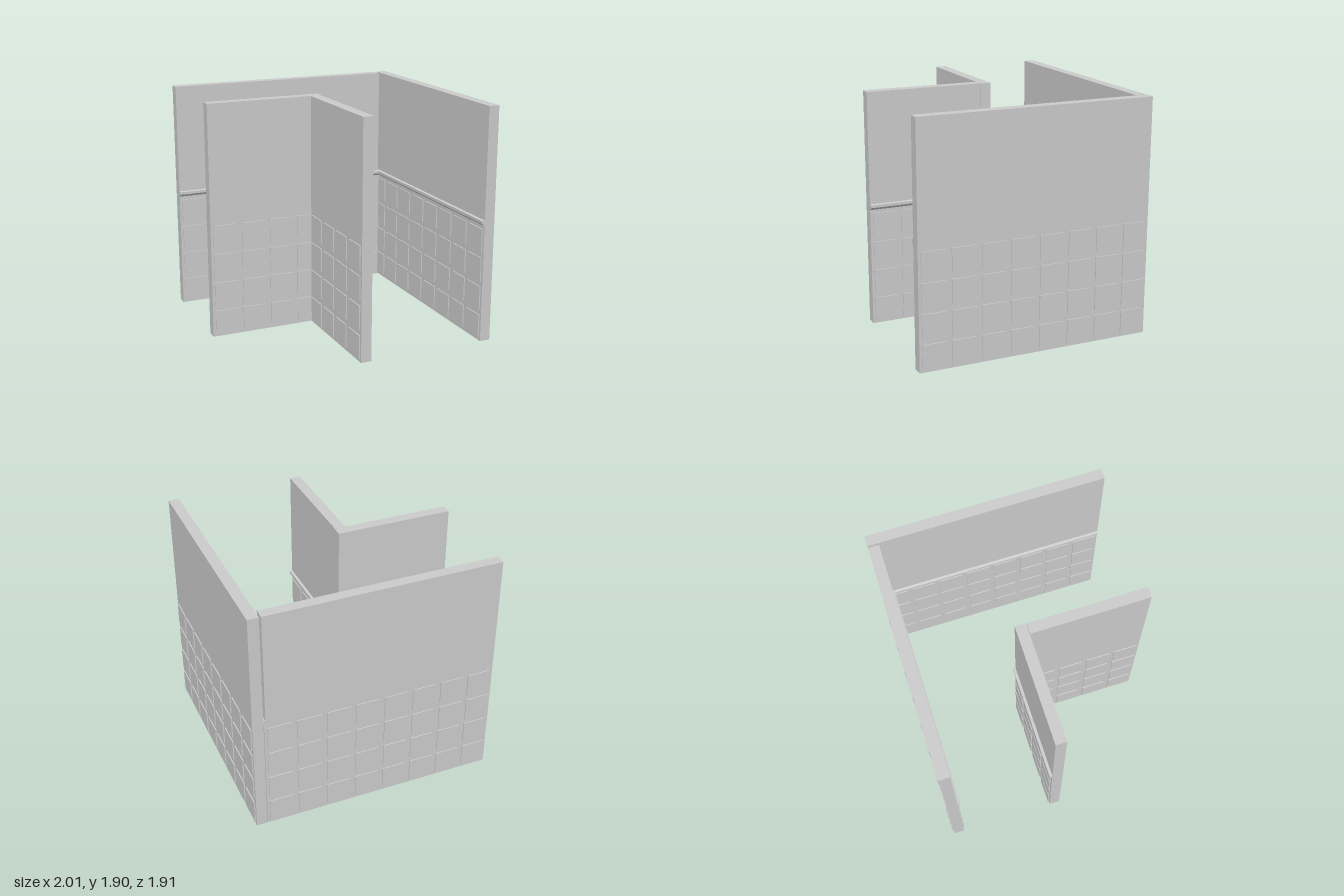
import * as THREE from 'three';

const material = new THREE.MeshStandardMaterial({ color: 0xcccccc, flatShading: true });
const HEIGHT = 1.9, THICK = 0.087, PITCH = 0.2375, PANEL = 0.193, RELIEF = 0.009, RAIL_Y = 0.98;

// Box given by its minimum and maximum corners
function block(name, x0, x1, y0, y1, z0, z1) {
  const mesh = new THREE.Mesh(new THREE.BoxGeometry(x1 - x0, y1 - y0, z1 - z0), material);
  mesh.position.set((x0 + x1) / 2, (y0 + y1) / 2, (z0 + z1) / 2);
  mesh.name = name;
  return mesh;
}

// Moulded rail running along +x, projecting towards +z
function chairRail(length) {
  const profile = new THREE.Shape([
    [0.004, 0.955], [-0.008, 0.962], [-0.022, 0.978], [-0.022, 1.0], [0.004, 1.005],
  ].map(([x, y]) => new THREE.Vector2(x, y)));
  const geometry = new THREE.ExtrudeGeometry(profile, { depth: length, bevelEnabled: false });
  geometry.rotateY(Math.PI / 2); // profile -x becomes +z, depth becomes +x
  const mesh = new THREE.Mesh(geometry, material);
  mesh.name = 'chairRail';
  return mesh;
}

// Wall along +x with its railed face at z = 0 facing +z
function wall(name, columns, x, z, angle, upperGap = 0) {
  const group = new THREE.Group();
  group.name = name;
  const length = columns * PITCH;
  if (upperGap > 0) {
    group.add(block('lowerWall', 0, length, 0, RAIL_Y, -THICK, 0));
    group.add(block('upperWall', 0, length - upperGap, RAIL_Y, HEIGHT, -THICK, 0));
  } else {
    group.add(block('wallSlab', 0, length, 0, HEIGHT, -THICK, 0));
  }
  group.add(chairRail(length));

  // Square raised panels in four rows, both faces
  const margin = (PITCH - PANEL) / 2;
  for (let row = 0; row < 4; row++) {
    const y = 0.025 + row * 0.237;
    for (let col = 0; col < columns; col++) {
      const px = col * PITCH + margin;
      group.add(block('innerPanel', px, px + PANEL, y, y + PANEL, -0.005, RELIEF));
      group.add(block('outerPanel', px, px + PANEL, y, y + PANEL, -THICK - RELIEF, -THICK + 0.005));
    }
  }
  group.position.set(x, 0, z);
  group.rotation.y = angle;
  return group;
}

export function createModel() {
  const model = new THREE.Group();
  model.name = 'corridorCorner';
  // Outer corner
  model.add(wall('backWall', 8, -1, -0.859, 0, 0.012));
  model.add(wall('sideWall', 8, 0.904, -0.946, -Math.PI / 2));
  // Inner corner
  model.add(wall('innerBackWall', 4, -0.058, -0.086, Math.PI));
  model.add(wall('innerSideWall', 4, -0.062, 0.953, Math.PI / 2));
  return model;
}
